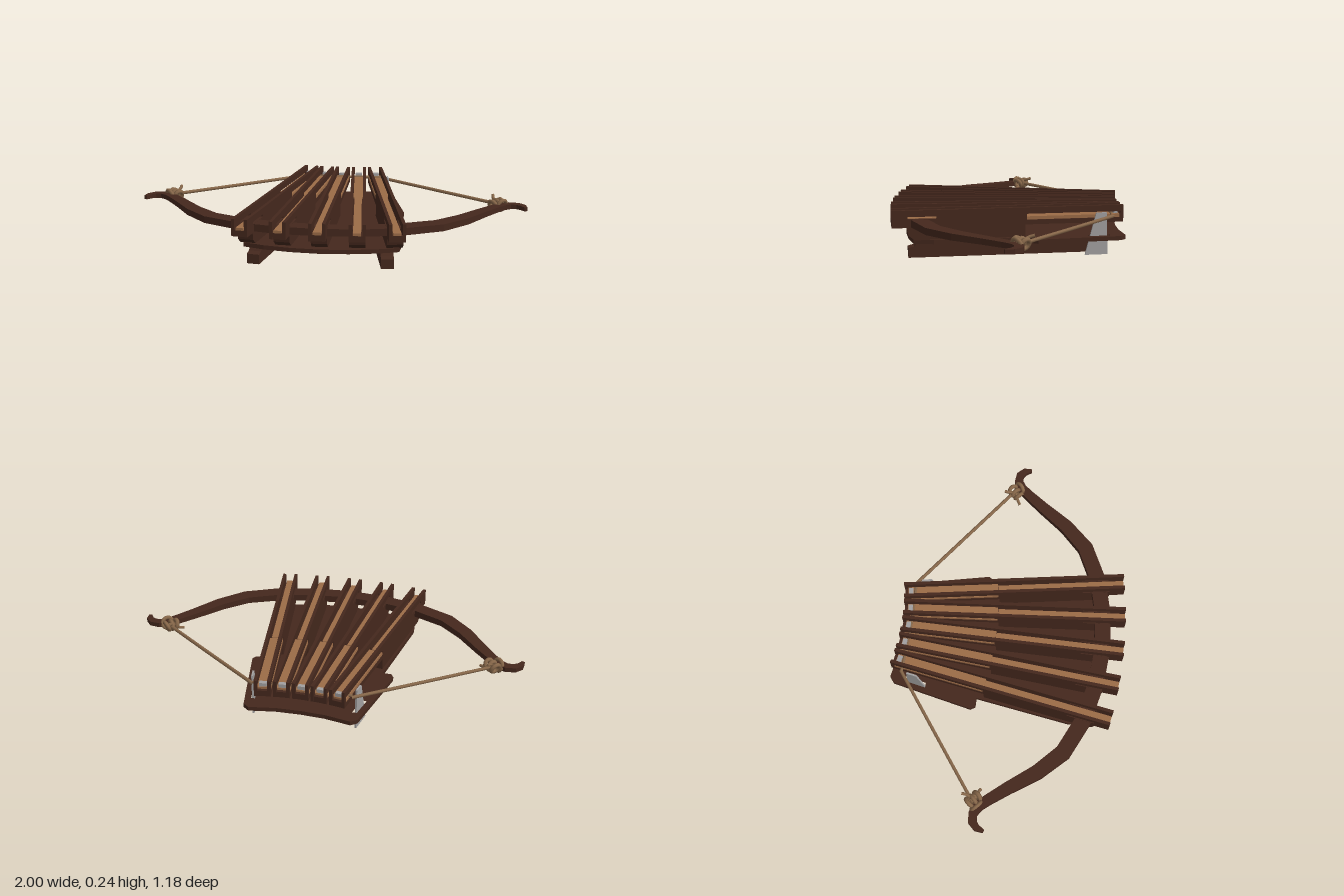
import * as THREE from 'three';

const wood = new THREE.MeshStandardMaterial({ color: 0x45281d });
wood.name = 'darkWood';
const tan = new THREE.MeshStandardMaterial({ color: 0x9c6c47 });
tan.name = 'paleWood';
const rope = new THREE.MeshStandardMaterial({ color: 0x88684a });
rope.name = 'rope';
const metal = new THREE.MeshStandardMaterial({ color: 0xa2a0a0 });
metal.name = 'metal';

const APEX = -1.65; // z where all the fanned rails would meet
const V = (x, y, z) => new THREE.Vector3(x, y, z);
const shapeOf = (pts) => new THREE.Shape(pts.map(([a, b]) => new THREE.Vector2(a, b)));

function add(parent, name, geo, mat, x = 0, y = 0, z = 0) {
  const m = new THREE.Mesh(geo, mat);
  m.name = name;
  m.position.set(x, y, z);
  parent.add(m);
  return m;
}

// Side profile given as (z, y), extruded to a width centred on x = 0
function sideProfile(pts, width, holes = []) {
  const s = shapeOf(pts);
  holes.forEach((h) => s.holes.push(shapeOf(h)));
  const g = new THREE.ExtrudeGeometry(s, { depth: width, bevelEnabled: false });
  g.translate(0, 0, -width / 2);
  g.rotateY(-Math.PI / 2);
  return g;
}

const rect = (a, b, c, d) => [[a, b], [c, b], [c, d], [a, d]];

// Group turned about the fan's apex; its children use ordinary z
function fanGroup(parent, name, angle) {
  const pivot = new THREE.Group();
  pivot.name = name;
  pivot.position.z = APEX;
  pivot.rotation.y = angle;
  const inner = new THREE.Group();
  inner.name = name + 'Parts';
  inner.position.z = -APEX;
  pivot.add(inner);
  parent.add(pivot);
  return inner;
}

// Rectangular bar swept along rows of [x, z, width, height]
function sweptBar(rows, y) {
  const rings = rows.map(([x, z, w, h], i) => {
    const a = rows[Math.max(i - 1, 0)], b = rows[Math.min(i + 1, rows.length - 1)];
    const t = new THREE.Vector2(b[0] - a[0], b[1] - a[1]).normalize();
    const nx = -t.y * w / 2, nz = t.x * w / 2;
    return [V(x + nx, y - h / 2, z + nz), V(x + nx, y + h / 2, z + nz),
      V(x - nx, y + h / 2, z - nz), V(x - nx, y - h / 2, z - nz)];
  });
  const pos = [];
  const quad = (a, b, c, d) => [a, b, c, a, c, d].forEach((p) => pos.push(p.x, p.y, p.z));
  for (let i = 0; i < rings.length - 1; i++) {
    for (let k = 0; k < 4; k++) {
      const n = (k + 1) % 4;
      quad(rings[i][k], rings[i + 1][k], rings[i + 1][n], rings[i][n]);
    }
  }
  quad(...rings[0]);
  quad(...rings[rings.length - 1].slice().reverse());
  const g = new THREE.BufferGeometry();
  g.setAttribute('position', new THREE.Float32BufferAttribute(pos, 3));
  g.computeVertexNormals();
  return g;
}

function cord(points, r, seg = 12) {
  return new THREE.TubeGeometry(new THREE.CatmullRomCurve3(points), seg, r, 6);
}

// One arrow channel: slotted side walls, floor, pale runners, catch and support beam
function addRail(parent, angle) {
  const g = fanGroup(parent, 'rail', angle);
  const slots = [rect(-0.54, 0.18, -0.07, 0.21), rect(0.37, 0.198, 0.51, 0.21)];
  const wall = sideProfile(rect(-0.556, 0.157, 0.588, 0.242), 0.016, slots);
  for (const s of [-1, 1]) add(g, 'railWall', wall, wood, s * 0.032);
  add(g, 'railFloor', new THREE.BoxGeometry(0.048, 0.03, 1.142), wood, 0, 0.172, 0.016);
  add(g, 'arrowRunner', new THREE.BoxGeometry(0.038, 0.014, 0.655), tan, 0, 0.193, 0.259);
  // the rear runner is wide enough to show in the side slots
  add(g, 'rearRunner', sideProfile(rect(-0.538, 0.181, -0.07, 0.197), 0.077), tan);
  add(g, 'catchBlock', new THREE.BoxGeometry(0.036, 0.02, 0.022), metal, 0, 0.205, -0.522);
  const beam = [[-0.065, 0.095], [0.478, 0.095], [0.508, 0.12], [0.515, 0.16], [-0.065, 0.16]];
  add(g, 'supportBeam', sideProfile(beam, 0.078), wood);
}

// Rope knot with wraps and loose tails around the bow tip
function addKnot(parent, s) {
  const knot = new THREE.Group();
  knot.name = 'knot';
  knot.position.set(s * 0.845, 0.182, -0.07);
  const axis = V(s * 0.62, 0, -0.6).normalize();
  for (let i = -1; i <= 1; i++) {
    const ring = add(knot, 'knotWrap', new THREE.TorusGeometry(0.023, 0.011, 6, 12), rope);
    ring.position.set(s * i * 0.017, 0, -i * 0.017);
    ring.quaternion.setFromUnitVectors(V(0, 0, 1), axis);
    ring.rotateX(i * 0.35);
  }
  const loop = add(knot, 'tipLoop', new THREE.TorusGeometry(0.029, 0.01, 6, 14), rope, s * 0.028, 0, 0.018);
  loop.rotation.set(0.4, s * 0.7, 0);
  add(knot, 'looseEnd', cord([V(0, 0.01, 0), V(-s * 0.015, 0.025, -0.035), V(-s * 0.015, 0.033, -0.06)], 0.008, 6), rope);
  add(knot, 'looseEnd', cord([V(0, -0.01, 0), V(-s * 0.035, -0.018, 0.015), V(-s * 0.06, -0.022, 0.03)], 0.008, 6), rope);
  parent.add(knot);
}

export function createModel() {
  const model = new THREE.Group();
  model.name = 'fanCrossbow';

  // Deck board with flared rear wings and trigger slots
  const half = [[0, 0.52], [0.14, 0.51], [0.27, 0.485], [0.375, 0.45], [0.385, 0.35], [0.31, -0.13],
    [0.355, -0.13], [0.37, -0.155], [0.28, -0.565], [0.25, -0.588], [0.12, -0.565], [0, -0.56]];
  const mirrored = half.slice(1, -1).reverse().map(([x, z]) => [-x, z]);
  const deck = shapeOf([...half, ...mirrored]);
  for (const s of [-1, 1]) {
    deck.holes.push(shapeOf([[0.24, -0.51], [0.264, -0.51], [0.288, -0.4], [0.262, -0.4]].map(([x, z]) => [s * x, z])));
  }
  const deckGeo = new THREE.ExtrudeGeometry(deck, { depth: 0.021, bevelEnabled: false });
  deckGeo.rotateX(Math.PI / 2);
  add(model, 'deck', deckGeo, wood, 0, 0.096, 0);

  // Five fanned rails
  for (let i = -2; i <= 2; i++) addRail(model, i * 0.0832);

  // Skids under the deck, ending just ahead of the trigger plates
  const skid = [[-0.4, 0], [0.507, 0], [0.507, 0.048], [0.478, 0.056], [0.46, 0.076], [-0.4, 0.076]];
  for (const s of [-1, 1]) {
    add(fanGroup(model, 'skid', s * 0.167), 'skidBeam', sideProfile(skid, 0.062), wood, -s * 0.036);
  }

  // Bow with hooked tips
  const arm = [[0, 0.48, 0.08, 0.036], [0.2, 0.463, 0.08, 0.036], [0.39, 0.418, 0.08, 0.036],
    [0.56, 0.338, 0.08, 0.034], [0.675, 0.222, 0.072, 0.032], [0.77, 0.09, 0.06, 0.028],
    [0.84, 0.0, 0.052, 0.026], [0.875, -0.04, 0.05, 0.025], [0.915, -0.062, 0.045, 0.024],
    [0.955, -0.058, 0.042, 0.023], [0.98, -0.035, 0.034, 0.022], [0.992, 0.0, 0.016, 0.02]];
  const otherArm = arm.slice(1).reverse().map(([x, ...r]) => [-x, ...r]);
  add(model, 'bow', sweptBar([...otherArm, ...arm], 0.179), wood);

  // Trigger plates, strings and knots on both sides
  const plate = [[-0.5, 0], [-0.385, 0], [-0.44, 0.21], [-0.492, 0.21]];
  for (const s of [-1, 1]) {
    const p = add(model, 'triggerPlate', sideProfile(plate.map(([z, y]) => [z + 0.45, y]), 0.009), metal, s * 0.264, 0, -0.45);
    p.rotation.y = s * 0.18;
    add(model, 'bowString', cord([V(s * 0.86, 0.183, -0.07), V(s * 0.55, 0.185, -0.298), V(s * 0.24, 0.188, -0.525)], 0.009, 4), rope);
    addKnot(model, s);
  }
  add(model, 'drawnString', cord([V(-0.245, 0.196, -0.52), V(0, 0.196, -0.51), V(0.245, 0.196, -0.52)], 0.008, 6), rope);

  return model;
}
